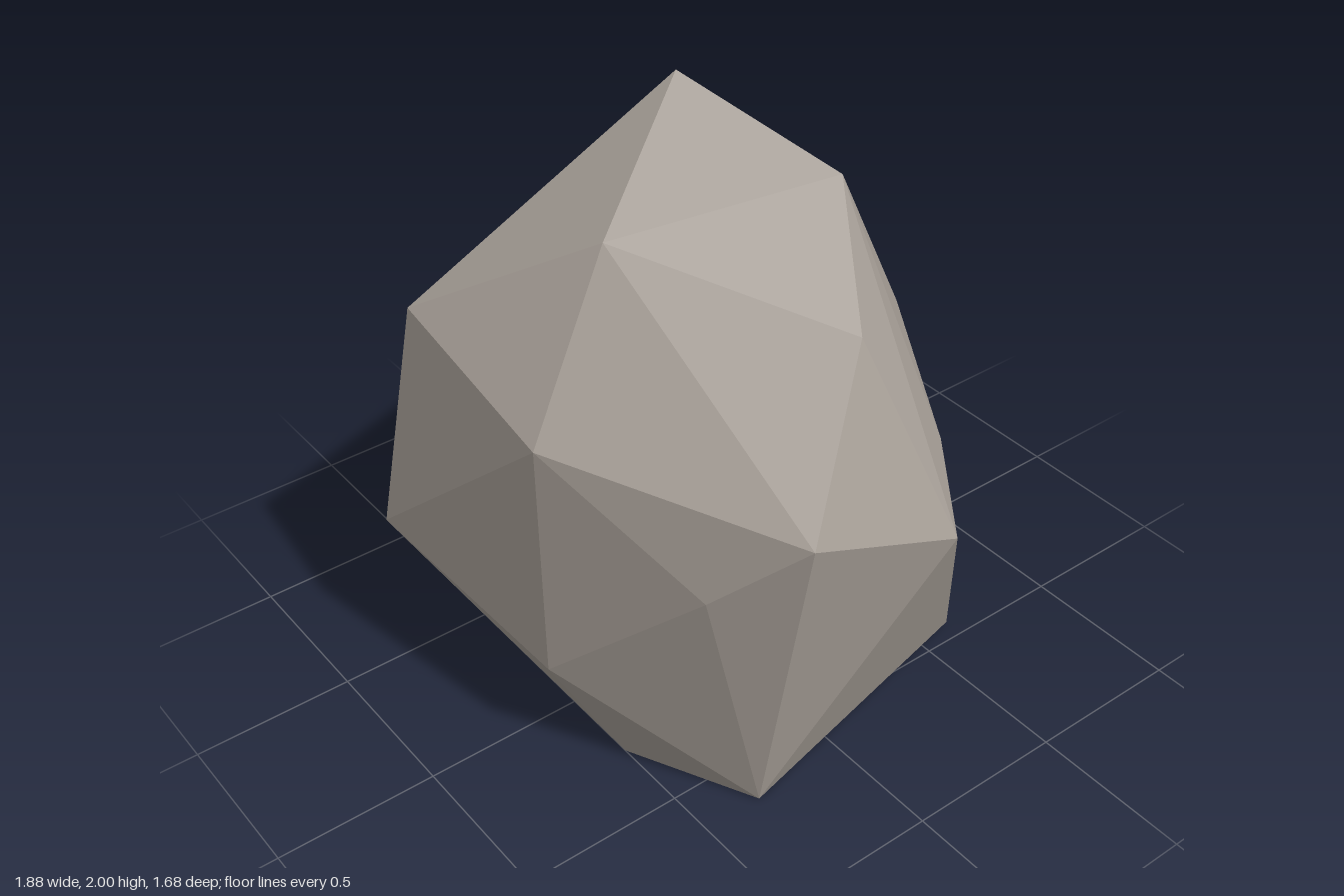
import * as THREE from 'three';
import { ConvexGeometry } from 'three/addons/geometries/ConvexGeometry.js';

// Corner points of the boulder, from the ground up
const CORNERS = [
  // flat base
  [-0.94, 0, 0.32], [0.26, 0, 0.5], [0.65, 0, 0.31], [0.45, 0.02, -0.62], [-0.54, 0, -0.68],
  // lower ring
  [0.2, 0.4, 0.71], [-0.43, 0.6, 0.84], [-0.78, 0.52, -0.42],
  // widest ring
  [0.67, 0.86, 0.52], [0.94, 0.94, -0.1], [0.9, 1.1, 0.36], [-0.09, 0.87, -0.84],
  [-0.84, 0.9, -0.33], [0.69, 1.04, -0.27],
  // shoulders
  [-0.7, 1.2, 0], [0.27, 1.22, 0.76], [-0.3, 1.37, 0.77], [0.73, 1.53, 0.08],
  // peak
  [0.19, 1.69, 0.47], [0.48, 1.83, -0.06], [0.035, 2, 0.12],
];

export function createModel() {
  const stone = new THREE.MeshStandardMaterial({ color: 0xa8a098 });
  stone.name = 'stone';
  stone.flatShading = true;

  // Faceted boulder wrapped around its corners
  const points = CORNERS.map((p) => new THREE.Vector3(...p));
  const boulder = new THREE.Mesh(new ConvexGeometry(points), stone);
  boulder.name = 'boulder';

  const model = new THREE.Group();
  model.name = 'rock';
  model.add(boulder);
  return model;
}
